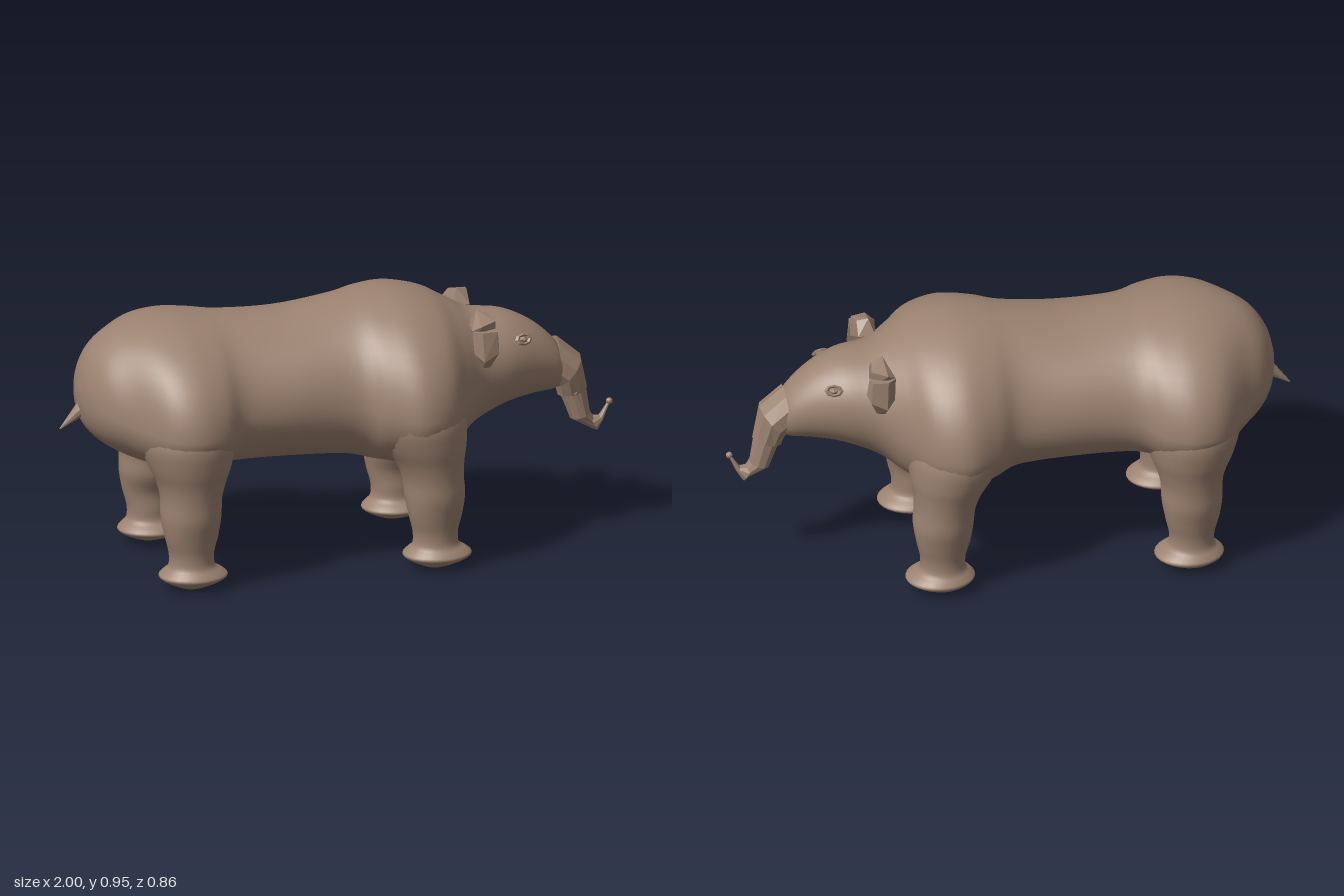
import * as THREE from 'three';
import { ConvexGeometry } from 'three/addons/geometries/ConvexGeometry.js';

const V = (x, y, z) => new THREE.Vector3(x, y, z);

// Skin a list of equal-length closed rings; winding is fixed by signed volume.
function loft(rings) {
  const n = rings[0].length, index = [];
  const all = rings.flat();
  const mid = (r) => r.reduce((s, p) => s.add(p), V(0, 0, 0)).divideScalar(n);
  for (let i = 0; i < rings.length - 1; i++) {
    for (let j = 0; j < n; j++) {
      const a = i * n + j, b = i * n + (j + 1) % n;
      index.push(a, b, a + n, b, b + n, a + n);
    }
  }
  const last = (rings.length - 1) * n, first = all.length;
  all.push(mid(rings[0]), mid(rings[rings.length - 1]));
  for (let j = 0; j < n; j++) {
    const k = (j + 1) % n;
    index.push(first, k, j, first + 1, last + j, last + k);
  }
  let volume = 0;
  for (let i = 0; i < index.length; i += 3) {
    volume += all[index[i]].dot(V(0, 0, 0).crossVectors(all[index[i + 1]], all[index[i + 2]]));
  }
  if (volume < 0) index.reverse();
  const g = new THREE.BufferGeometry().setFromPoints(all);
  g.setIndex(index);
  g.computeVertexNormals();
  return g;
}

// Smoothly resample rows of five numbers.
function resample(rows, count) {
  const make = (f) => new THREE.CatmullRomCurve3(rows.map(f), false, 'catmullrom', 0.5);
  const a = make((r) => V(r[0], r[1], r[2])), b = make((r) => V(r[3], r[4], 0));
  return Array.from({ length: count + 1 }, (_, i) => {
    const p = a.getPoint(i / count), q = b.getPoint(i / count);
    return [p.x, p.y, p.z, q.x, q.y];
  });
}

const around = (n, f) => Array.from({ length: n }, (_, j) => f(j / n * Math.PI * 2));

export function createModel() {
  const group = new THREE.Group();
  const skin = new THREE.MeshStandardMaterial({ color: 0x9c8270 });
  skin.name = 'brown skin';
  const add = (name, geometry, flat = false) => {
    let g = geometry;
    if (flat) {
      g = g.index ? g.toNonIndexed() : g;
      g.computeVertexNormals();
    }
    const mesh = new THREE.Mesh(g, skin);
    mesh.name = name;
    group.add(mesh);
    return mesh;
  };

  // Body, neck and head: x, top, bottom, half width, height of widest point
  const body = [
    [-0.935, 0.69, 0.63, 0.03, 0.66], [-0.915, 0.765, 0.555, 0.115, 0.65],
    [-0.87, 0.835, 0.5, 0.2, 0.63], [-0.8, 0.885, 0.455, 0.275, 0.61],
    [-0.7, 0.917, 0.42, 0.395, 0.59], [-0.6, 0.927, 0.405, 0.43, 0.585],
    [-0.5, 0.92, 0.4, 0.4, 0.59], [-0.4, 0.91, 0.395, 0.33, 0.62],
    [-0.2, 0.905, 0.39, 0.318, 0.64], [0, 0.933, 0.38, 0.32, 0.62],
    [0.1, 0.95, 0.36, 0.382, 0.6], [0.21, 0.954, 0.346, 0.432, 0.58],
    [0.32, 0.93, 0.36, 0.395, 0.59], [0.4, 0.89, 0.395, 0.295, 0.62],
    [0.48, 0.85, 0.45, 0.215, 0.65], [0.6, 0.832, 0.502, 0.172, 0.67],
    [0.7, 0.785, 0.522, 0.128, 0.66], [0.78, 0.715, 0.53, 0.088, 0.63],
    [0.82, 0.65, 0.55, 0.05, 0.6],
  ];
  add('body', loft(resample(body, 90).map(([x, top, bottom, half, wide]) =>
    around(48, (a) => {
      const s = Math.sin(a);
      return V(x, wide + s * (s > 0 ? top - wide : wide - bottom), half * Math.cos(a));
    }))));

  // Legs with splayed feet: y, x offset, z centre, x radius, z radius
  const leg = [
    [0.006, -0.01, 0.275, 0.006, 0.006], [0.02, -0.005, 0.275, 0.05, 0.05],
    [0.04, 0.003, 0.27, 0.102, 0.09], [0.056, 0.005, 0.267, 0.122, 0.106],
    [0.072, 0.003, 0.268, 0.108, 0.096], [0.095, -0.002, 0.272, 0.082, 0.075],
    [0.14, -0.003, 0.272, 0.08, 0.074], [0.2, -0.004, 0.277, 0.094, 0.083],
    [0.27, -0.004, 0.27, 0.106, 0.108], [0.34, -0.003, 0.268, 0.108, 0.116],
    [0.4, -0.002, 0.263, 0.122, 0.132], [0.47, -0.005, 0.25, 0.15, 0.165],
    [0.56, -0.01, 0.22, 0.17, 0.205], [0.66, -0.015, 0.17, 0.14, 0.22],
  ];
  for (const [place, cx, lean] of [['hind', -0.595, 0], ['front', 0.285, -0.05]]) {
    for (const [side, m] of [['Left', 1], ['Right', -1]]) {
      add(place + 'Leg' + side, loft(resample(leg, 56).map(([y, dx, cz, rx, rz]) => {
        const shift = lean * THREE.MathUtils.smoothstep(y, 0.25, 0.6);
        return around(28, (a) => V(cx + dx + shift + rx * Math.cos(a), y, m * (cz + rz * Math.sin(a))));
      })));
    }
  }

  // Faceted trunk: each ring runs from an upper to a lower point
  const trunkRing = ([tx, ty, bx, by, half]) => around(10, (a) => {
    const k = (1 - Math.cos(a)) / 2;
    return V(tx + (bx - tx) * k, ty + (by - ty) * k, half * Math.sin(a));
  });
  add('upperTrunk', loft([
    [0.795, 0.718, 0.775, 0.545, 0.078], [0.88, 0.645, 0.79, 0.535, 0.08],
    [0.905, 0.525, 0.8, 0.5, 0.056],
  ].map(trunkRing)), true);
  add('lowerTrunk', loft([
    [0.9, 0.535, 0.806, 0.51, 0.05], [0.916, 0.43, 0.845, 0.41, 0.042],
    [0.942, 0.39, 0.93, 0.362, 0.018],
  ].map(trunkRing)), true);
  add('trunkTip', loft([
    [0.91, 0.415, 0.94, 0.358, 0.032], [0.948, 0.412, 0.962, 0.395, 0.016],
    [0.979, 0.458, 0.987, 0.454, 0.005],
  ].map(trunkRing)), true);
  add('tipBead', new THREE.IcosahedronGeometry(0.012, 1), true).position.set(0.986, 0.461, 0);

  // Small spike beside the trunk
  const spike = add('trunkSpike', new THREE.ConeGeometry(0.008, 0.08, 5), true);
  spike.position.set(0.865, 0.485, 0.056);
  spike.rotation.z = -2.7;

  // Pointed tail
  add('tail', loft([
    [-0.9, 0.66, -0.885, 0.59, 0.024], [-0.94, 0.62, -0.925, 0.572, 0.02],
    [-0.998, 0.54, -0.995, 0.536, 0.002],
  ].map(trunkRing)), true);

  // Faceted folded ears and rimmed eyes, mirrored
  const earTop = [
    [0.47, 0.882, 0.128], [0.51, 0.87, 0.14], [0.45, 0.827, 0.1], [0.51, 0.827, 0.1],
    [0.435, 0.83, 0.2], [0.465, 0.85, 0.222], [0.52, 0.858, 0.195],
    [0.525, 0.785, 0.185], [0.45, 0.775, 0.185],
  ];
  const earDrop = [
    [0.435, 0.83, 0.205], [0.465, 0.83, 0.232], [0.52, 0.83, 0.228], [0.525, 0.83, 0.19],
    [0.535, 0.765, 0.19], [0.525, 0.75, 0.228], [0.47, 0.725, 0.24],
    [0.44, 0.75, 0.215], [0.475, 0.688, 0.205], [0.5, 0.69, 0.198],
  ];
  for (const [side, m] of [['Left', 1], ['Right', -1]]) {
    const hull = (pts) => new ConvexGeometry(pts.map(([x, y, z]) => V(x, y, m * z)));
    add('upperEar' + side, hull(earTop), true);
    add('lowerEar' + side, hull(earDrop), true);

    const rim = add('eyelid' + side, new THREE.TorusGeometry(0.024, 0.008, 4, 8), true);
    const ball = add('eye' + side, new THREE.IcosahedronGeometry(0.017, 0), true);
    for (const part of [rim, ball]) {
      part.position.set(0.64, 0.76, m * 0.132);
      part.lookAt(0.64 + 0.25, 0.76 + 0.5, m * (0.132 + 1));
      part.scale.set(1.05, 0.7, 0.8);
    }
  }
  return group;
}
